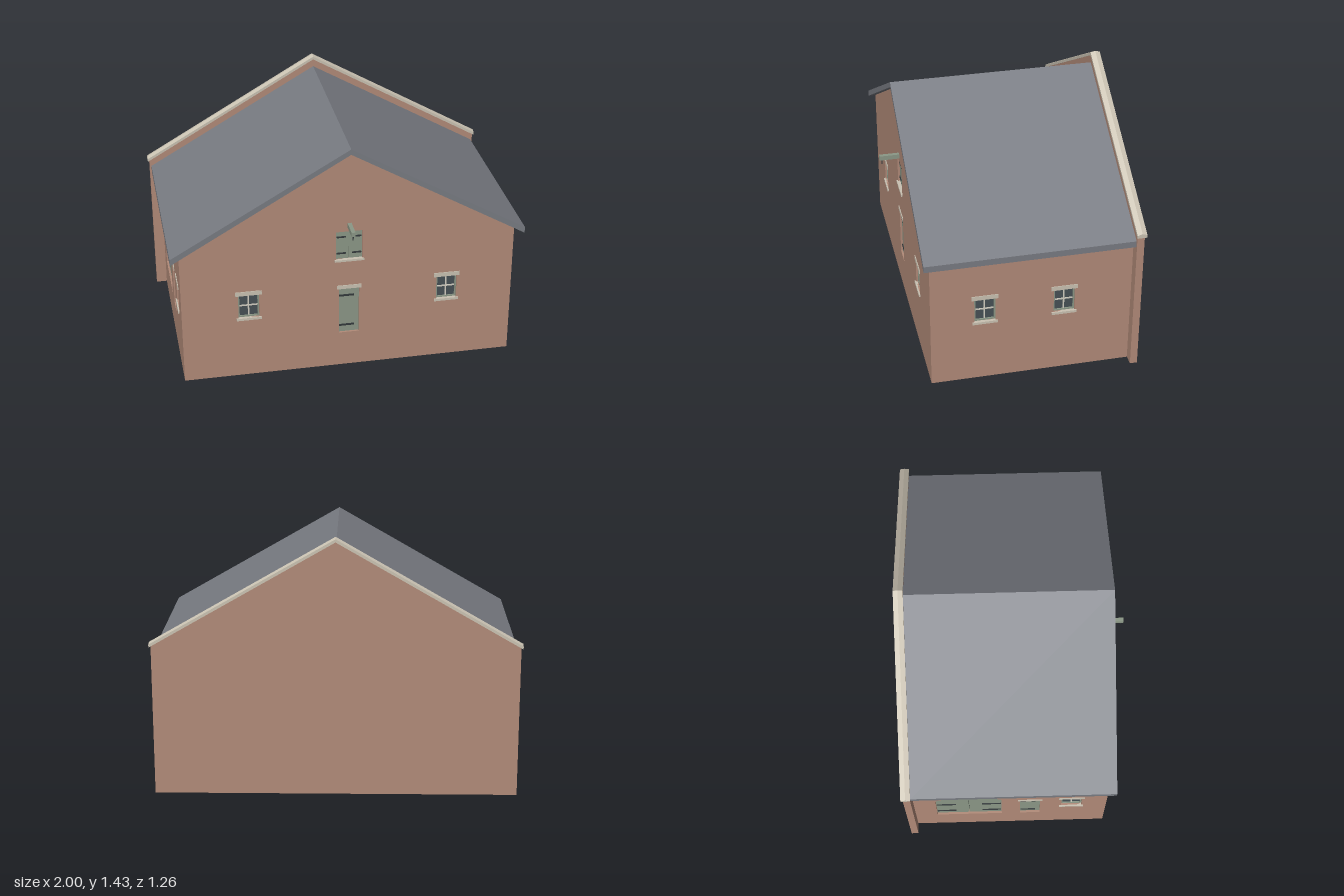
import * as THREE from 'three';

const mat = (name, color) => {
  const m = new THREE.MeshStandardMaterial({ color });
  m.name = name;
  return m;
};

export function createModel() {
  const brick = mat('brick', 0xb18a78);
  const slate = mat('roof slate', 0x787b82);
  const stone = mat('pale stone', 0xcac2b2);
  const green = mat('green paint', 0x8b9786);
  const glass = mat('window glass', 0x465055);
  const iron = mat('dark iron', 0x33393b);
  const cream = mat('cream glazing bars', 0xd3cfc2);

  const model = new THREE.Group();
  model.name = 'house';

  const add = (parent, name, geo, material) => {
    const m = new THREE.Mesh(geo, material);
    m.name = name;
    parent.add(m);
    return m;
  };
  // Box given by its limits on each axis
  const box = (parent, name, material, [x0, x1], [y0, y1], [z0, z1]) => {
    const m = add(parent, name, new THREE.BoxGeometry(x1 - x0, y1 - y0, z1 - z0), material);
    m.position.set((x0 + x1) / 2, (y0 + y1) / 2, (z0 + z1) / 2);
    return m;
  };
  const pts = (list) => list.map(([x, y]) => new THREE.Vector2(x, y));
  // Prism from an outline, between two depths, with optional holes
  const prism = (outline, z0, z1, holes = []) => {
    const s = new THREE.Shape(pts(outline));
    holes.forEach((h) => s.holes.push(new THREE.Path(pts(h))));
    return new THREE.ExtrudeGeometry(s, { depth: z1 - z0, bevelEnabled: false }).translate(0, 0, z0);
  };
  const rect = (x, w, y0, y1) => [[x - w / 2, y0], [x + w / 2, y0], [x + w / 2, y1], [x - w / 2, y1]];
  // Points of a shallow arc from x0 to x1, for an arch of given half width
  const arc = (half, spring, crown, x0, x1, n = 10) => {
    const rise = crown - spring;
    const r = (half * half + rise * rise) / (2 * rise);
    return Array.from({ length: n + 1 }, (_, i) => {
      const x = x0 + ((x1 - x0) * i) / n;
      return [x, crown - r + Math.sqrt(r * r - x * x)];
    });
  };

  // A wall in its own frame: outer face at z = 0, x along the wall
  const T = 0.04;
  const wall = (name, outline, holes) => {
    const g = new THREE.Group();
    g.name = name;
    add(g, name + 'Brickwork', prism(outline, -T, 0, holes), brick);
    model.add(g);
    return g;
  };

  // Small four-pane window with lintel and sill
  const WIN = { w: 0.116, y0: 0.374, y1: 0.515 };
  const windowHole = (x) => rect(x, WIN.w, WIN.y0, WIN.y1);
  const addWindow = (parent, x) => {
    const g = new THREE.Group();
    g.name = 'window';
    g.position.x = x;
    parent.add(g);
    const { w, y0, y1 } = WIN, h = w / 2, f = 0.008, mid = (y0 + y1) / 2;
    add(g, 'windowFrame', prism(rect(0, w, y0, y1), -0.03, -0.01,
      [rect(0, w - 2 * f, y0 + f, y1 - f)]), green);
    box(g, 'windowGlass', glass, [-h + f, h - f], [y0 + f, y1 - f], [-0.024, -0.018]);
    box(g, 'verticalBar', cream, [-0.004, 0.004], [y0 + f, y1 - f], [-0.027, -0.014]);
    box(g, 'horizontalBar', cream, [-h + f, h - f], [mid - 0.004, mid + 0.004], [-0.0265, -0.0145]);
    box(g, 'lintel', stone, [-0.073, 0.073], [y1, 0.54], [-0.02, 0.004]);
    box(g, 'sill', stone, [-0.069, 0.069], [0.36, y0], [-0.02, 0.008]);
  };

  // Single plank door with strap hinges and lintel
  const DOOR = { w: 0.115, y0: 0.213, y1: 0.498 };
  const doorHole = (x) => rect(x, DOOR.w, DOOR.y0, DOOR.y1);
  const addDoor = (parent, x) => {
    const g = new THREE.Group();
    g.name = 'door';
    g.position.x = x;
    parent.add(g);
    const h = DOOR.w / 2;
    box(g, 'doorLeaf', green, [-h, h], [DOOR.y0, DOOR.y1], [-0.027, -0.012]);
    for (const y of [0.257, 0.449])
      box(g, 'doorHinge', iron, [-h + 0.004, 0.03], [y - 0.005, y + 0.005], [-0.012, -0.007]);
    box(g, 'doorLintel', stone, [-0.069, 0.069], [DOOR.y1, 0.52], [-0.02, 0.004]);
  };

  // Front gable wall
  const front = wall('frontWall',
    [[-0.93, 0], [0.93, 0], [0.93, 0.794], [0, 1.335], [-0.93, 0.794]],
    [windowHole(-0.56), windowHole(0.555), doorHole(0), rect(0, 0.146, 0.685, 0.857)]);
  front.position.z = 0.52;
  addWindow(front, -0.56);
  addWindow(front, 0.555);
  addDoor(front, 0);

  // Loft hatch with two leaves, sill and hoist beam
  for (const s of [-1, 1]) {
    const span = (a, b) => (s > 0 ? [a, b] : [-b, -a]);
    box(front, 'hatchLeaf', green, span(0.001, 0.073), [0.685, 0.857], [-0.027, -0.012]);
    for (const y of [0.719, 0.82])
      box(front, 'hatchHinge', iron, span(0.018, 0.068), [y - 0.004, y + 0.004], [-0.012, -0.007]);
  }
  box(front, 'hatchSill', stone, [-0.082, 0.082], [0.673, 0.685], [-0.02, 0.008]);
  box(front, 'hoistBeam', green, [-0.011, 0.011], [0.883, 0.909], [-0.02, 0.112]);
  box(front, 'hoistHook', iron, [-0.003, 0.003], [0.855, 0.883], [0.095, 0.101]);

  // Right side wall (local x runs towards the back)
  const right = wall('rightWall', [[-0.48, 0], [0.58, 0], [0.58, 0.794], [-0.48, 0.794]],
    [windowHole(-0.224), windowHole(0.21)]);
  right.rotation.y = Math.PI / 2;
  right.position.x = 0.93;
  addWindow(right, -0.224);
  addWindow(right, 0.21);

  // Left side wall (local x runs towards the front)
  const gate = { x: -0.267, half: 0.187, y0: 0.213, spring: 0.55, crown: 0.622 };
  const { half, spring, crown } = gate;
  const gateHole = [[-half, gate.y0], [half, gate.y0], ...arc(half, spring, crown, half, -half, 20)]
    .map(([x, y]) => [x + gate.x, y]);
  const left = wall('leftWall', [[-0.58, 0], [0.48, 0], [0.48, 0.794], [-0.58, 0.794]],
    [windowHole(0.32), doorHole(0.083), gateHole]);
  left.rotation.y = -Math.PI / 2;
  left.position.x = -0.93;
  addWindow(left, 0.32);
  addDoor(left, 0.083);

  // Arched double gate with a brick arch over it
  const gateGroup = new THREE.Group();
  gateGroup.name = 'archedGate';
  gateGroup.position.x = gate.x;
  left.add(gateGroup);
  for (const s of [-1, 1]) {
    const leaf = [[0.001, gate.y0], [half, gate.y0], ...arc(half, spring, crown, half, 0.001)];
    add(gateGroup, 'gateLeaf', prism(leaf.map(([x, y]) => [s * x, y]), -0.027, -0.012), green);
    for (const y of [0.27, 0.41, 0.55])
      box(gateGroup, 'gateHinge', iron, s > 0 ? [0.075, half - 0.004] : [-half + 0.004, -0.075],
        [y - 0.005, y + 0.005], [-0.012, -0.007]);
  }
  add(gateGroup, 'brickArch', prism([...arc(half, spring, crown, -half, half, 20),
    ...arc(half + 0.015, spring + 0.03, crown + 0.032, half + 0.015, -half - 0.015, 20)], -0.01, 0.004), brick);

  // Pitched roof slab
  add(model, 'roof', prism([[-0.98, 0.766], [0, 1.335], [0.98, 0.766], [0.98, 0.802],
    [0, 1.366], [-0.98, 0.802]], -0.58, 0.556), slate);

  // Back gable wall rising above the roof
  add(model, 'backWall', prism([[-0.99, 0], [0.99, 0], [0.99, 0.838], [0, 1.41], [-0.99, 0.838]],
    -0.62, -0.58), brick);

  // Ridged stone coping: a five-sided section swept over the gable
  const section = [[-0.63, 0], [-0.63, 0.017], [-0.6035, 0.025], [-0.577, 0.017], [-0.577, 0]];
  const stations = [[-1, 0.832], [0, 1.41], [1, 0.832]];
  const v = [];
  const P = (i, j) => [stations[i][0], stations[i][1] + section[j % 5][1], section[j % 5][0]];
  for (let i = 0; i < 2; i++)
    for (let j = 0; j < 5; j++) {
      const a = P(i, j), b = P(i, j + 1), c = P(i + 1, j + 1), d = P(i + 1, j);
      v.push(...a, ...b, ...c, ...a, ...c, ...d);
    }
  for (let j = 1; j < 4; j++) {
    v.push(...P(0, 0), ...P(0, j + 1), ...P(0, j));
    v.push(...P(2, 0), ...P(2, j), ...P(2, j + 1));
  }
  const coping = new THREE.BufferGeometry();
  coping.setAttribute('position', new THREE.Float32BufferAttribute(v, 3));
  coping.computeVertexNormals();
  add(model, 'coping', coping, stone);

  return model;
}
